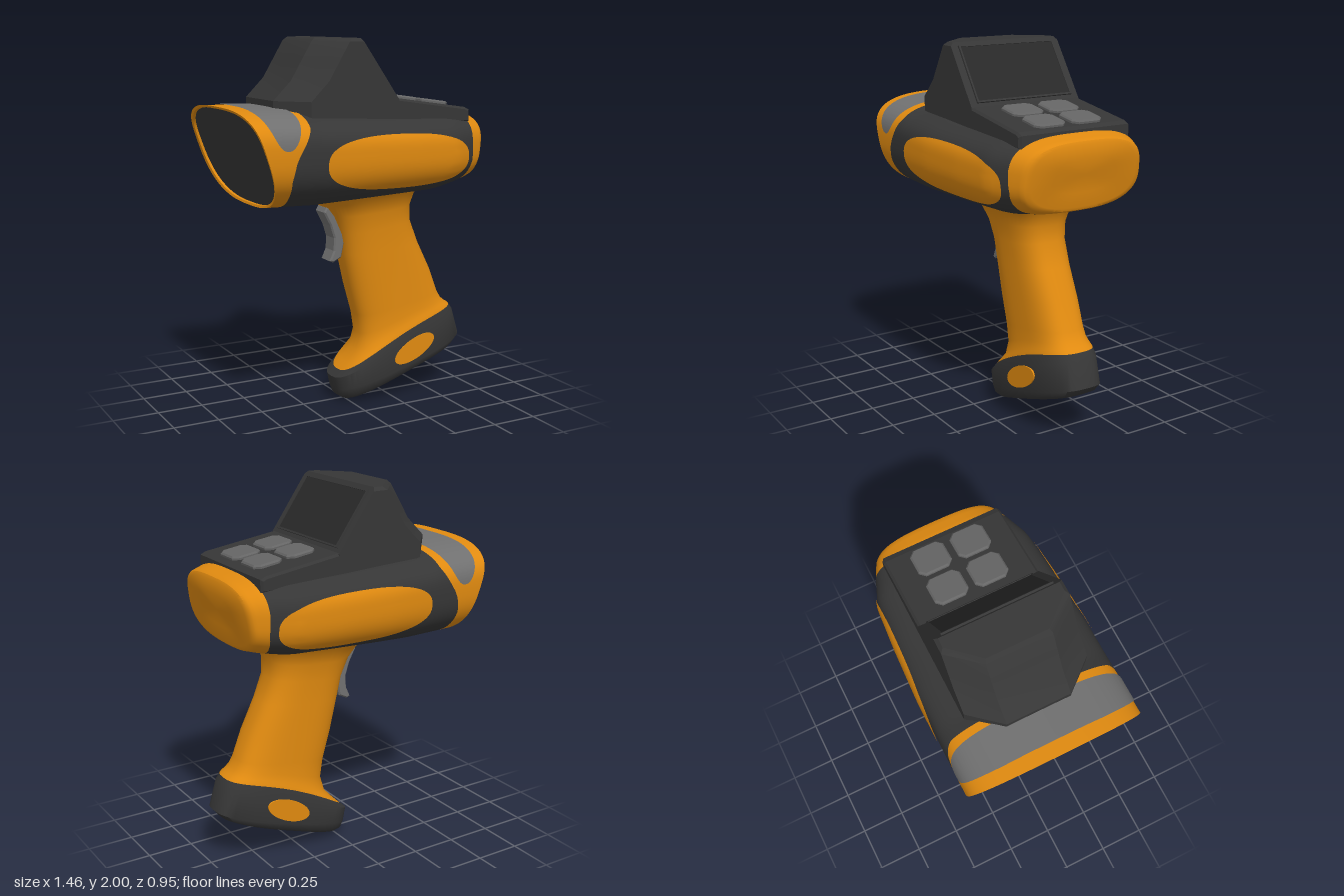
import * as THREE from 'three';
import { toCreasedNormals } from 'three/addons/utils/BufferGeometryUtils.js';

const mat = (name, color) => Object.assign(new THREE.MeshStandardMaterial({ color }), { name });
const V = (x, y, z) => new THREE.Vector3(x, y, z);

// Piecewise linear lookup in [[in, out], ...]
function lookup(table, t) {
  if (t <= table[0][0]) return table[0][1];
  for (let i = 1; i < table.length; i++) {
    const [a, p] = table[i - 1], [b, q] = table[i];
    if (t <= b) return p + (q - p) * (t - a) / (b - a);
  }
  return table[table.length - 1][1];
}

// Skin over rows of points, turned to face away from ref
function skin(rows, { closed = true, ref, capStart, capEnd, crease = 0.6 } = {}) {
  const mean = pts => pts.reduce((s, p) => s.add(p), V(0, 0, 0)).divideScalar(pts.length);
  rows = rows.slice();
  ref = ref || mean(rows.flat());
  if (capStart) rows.unshift(rows[0].map(() => mean(rows[0])));
  if (capEnd) { const last = rows[rows.length - 1]; rows.push(last.map(() => mean(last))); }
  const tris = [], n = rows[0].length;
  let facing = 0;
  const add = (a, b, c) => {
    const nor = b.clone().sub(a).cross(c.clone().sub(a));
    if (nor.length() < 1e-10) return;
    facing += nor.dot(a.clone().add(b).add(c).divideScalar(3).sub(ref));
    tris.push([a, b, c]);
  };
  for (let i = 0; i + 1 < rows.length; i++) {
    for (let j = 0; j < (closed ? n : n - 1); j++) {
      const k = (j + 1) % n;
      add(rows[i][j], rows[i][k], rows[i + 1][k]);
      add(rows[i][j], rows[i + 1][k], rows[i + 1][j]);
    }
  }
  const pts = tris.flatMap(([a, b, c]) => (facing < 0 ? [a, c, b] : [a, b, c]));
  return toCreasedNormals(new THREE.BufferGeometry().setFromPoints(pts), crease);
}

// Head section: half width, top, bottom and widest height along x
const halfW = [[-0.73, 0.47], [-0.1, 0.47], [0.2, 0.455], [0.45, 0.435], [0.58, 0.385], [0.67, 0.34]];
const topY = [[-0.73, 1.66], [-0.4, 1.65], [-0.35, 1.635], [0.1, 1.615], [0.6, 1.605], [0.7, 1.58]];
const botY = [[-0.73, 1.15], [-0.3, 1.14], [0.4, 1.17], [0.55, 1.2], [0.67, 1.235]];
const midY = [[-0.7, 1.45], [0.6, 1.41]];
const power = up => (up ? 3 : 2.7);

// Point on the head at angle t, with x given as a function of height
function headPoint(xOf, t, off = 0) {
  const s = Math.sin(t), c = Math.cos(t), e = 2 / power(s >= 0);
  let x = 0, y = 1.45 + 0.2 * s;
  for (let i = 0; i < 6; i++) {
    x = xOf(y);
    const m = lookup(midY, x);
    const b = s >= 0 ? lookup(topY, x) - m : m - lookup(botY, x);
    y = m + Math.sign(s) * (b + off) * Math.abs(s) ** e;
  }
  return V(x, y, Math.sign(c) * (lookup(halfW, x) + off) * Math.abs(c) ** e);
}
function headSide(x, y) {
  const m = lookup(midY, x), up = y >= m, n = power(up);
  const b = up ? lookup(topY, x) - m : m - lookup(botY, x);
  return lookup(halfW, x) * Math.max(0, 1 - (Math.abs(y - m) / b) ** n) ** (1 / n);
}
const SEG = 96;
const headRing = xOf => Array.from({ length: SEG }, (_, j) => headPoint(xOf, j / SEG * Math.PI * 2));
function headBand(from, to, n) {
  return Array.from({ length: n + 1 }, (_, i) => headRing(y => from(y) + (to(y) - from(y)) * i / n));
}
function shrink(ring, s, dx) {
  return ring.map(p => V(p.x + dx, 1.41 + (p.y - 1.41) * s, p.z * s));
}

// Grip section between a front and a rear point, bowed up in the middle
function gripRing([lx, ly, rx, ry, w, bow = 0]) {
  return Array.from({ length: 48 }, (_, j) => {
    const t = j / 48 * Math.PI * 2, c = Math.cos(t), s = Math.sin(t);
    const u = Math.sign(c) * Math.abs(c) ** 0.72, v = Math.sign(s) * Math.abs(s) ** 0.72;
    return V((lx + rx) / 2 + u * (rx - lx) / 2, (ly + ry) / 2 + u * (ry - ly) / 2 + bow * (1 - u * u), v * w);
  });
}

function extrude(points, depth, bevel = 0) {
  const shape = new THREE.Shape(points.map(p => new THREE.Vector2(...p)));
  return new THREE.ExtrudeGeometry(shape, {
    depth: depth - 2 * bevel, bevelEnabled: bevel > 0, bevelSize: bevel, bevelThickness: bevel, bevelOffset: -bevel, bevelSegments: 1,
  }).translate(0, 0, bevel - depth / 2);
}

export function createModel() {
  const model = new THREE.Group();
  const orange = mat('orange', 0xe08a10), dark = mat('charcoal', 0x363636), grey = mat('grey', 0x707070);
  const keyGrey = mat('key grey', 0x656565), glass = mat('screen black', 0x292929);
  const add = (name, geo, material, parent = model) => {
    const mesh = new THREE.Mesh(geo, material);
    mesh.name = name;
    parent.add(mesh);
    return mesh;
  };

  // Head: front collar, middle shell, rear bumper
  const lip = y => -0.73 + (1.66 - y) * 0.333;
  const collarTable = [[1.15, -0.49], [1.22, -0.51], [1.32, -0.52], [1.42, -0.5], [1.5, -0.45], [1.57, -0.41], [1.65, -0.4]];
  const collarEnd = y => lookup(collarTable, y);
  const bumperStart = y => lookup([[1.18, 0.52], [1.27, 0.56], [1.35, 0.578], [1.45, 0.575], [1.6, 0.585]], y);
  const rear = y => 0.672 - (1.6 - y) * 0.15;
  const collar = headBand(lip, collarEnd, 6);
  const inner = shrink(collar[0], 0.955, 0.004), recess = shrink(collar[0], 0.95, 0.018);
  const ref = V(0, 1.4, 0);
  add('frontCollar', skin([recess, inner, ...collar], { ref }), orange);
  add('frontWindow', skin([recess], { capEnd: true, ref }), dark);
  add('headShell', skin(headBand(collarEnd, bumperStart, 28), { ref }), dark);
  const bumper = headBand(bumperStart, rear, 5), end = bumper[5];
  add('rearBumper', skin([...bumper, shrink(end, 0.96, 0.013), shrink(end, 0.88, 0.02), shrink(end, 0.5, 0.024)], { ref, capEnd: true }), orange);

  // Grey band over the top of the collar
  const band = [];
  for (let i = 0; i <= 80; i++) {
    const k = i / 40 - 1, t = Math.PI / 2 + Math.sign(k) * (Math.PI / 2 - 0.03) * (1 - (1 - Math.abs(k)) ** 2);
    const half = y => 0.105 * Math.min(1, Math.max(0, (y - 1.47) / 0.18)) ** 0.45;
    band.push(Array.from({ length: 9 }, (_, j) => headPoint(y => -0.548 + half(y) * (j / 4 - 1), t, 0.006)));
  }
  add('collarBand', skin(band, { closed: false, ref }), grey);

  // Long side panels that follow the shell
  for (const side of [1, -1]) {
    const rows = [];
    for (let i = 0; i <= 10; i++) {
      rows.push(Array.from({ length: 64 }, (_, j) => {
        const t = j / 64 * Math.PI * 2, c = Math.cos(t), s = Math.sin(t);
        const dx = 0.437 * i / 10 * Math.sign(c) * Math.abs(c) ** 0.8;
        const y = 1.38 - 0.02 * dx + 0.143 * i / 10 * Math.sign(s) * Math.abs(s) ** 0.8;
        return V(0.103 + dx, y, side * (headSide(0.103 + dx, y) + 0.006));
      }));
    }
    add(side > 0 ? 'leftPanel' : 'rightPanel', skin(rows, { ref: V(0.1, 1.38, 0) }), orange);
  }

  // Display hood: plan outlines by height [y, front x, rear x, half width]
  const hood = [[1.58, -0.49, 0.147, 0.33], [1.69, -0.49, 0.147, 0.33], [1.79, -0.39, 0.077, 0.33],
    [1.89, -0.33, 0.007, 0.33], [1.982, -0.275, -0.058, 0.33], [2, -0.255, -0.07, 0.312]];
  add('displayHood', skin(hood.map(([y, f, r, w]) => [V(r, y, w), V(f + 0.135, y, w), V(f, y, w * 0.52),
    V(f, y, -w * 0.52), V(f + 0.135, y, -w), V(r, y, -w)]), { capEnd: true, crease: 0.45 }), dark);

  // Screen with a thin rim on the sloping face
  const display = new THREE.Group();
  display.name = 'display';
  display.position.set(0.038, 1.846, 0);
  display.rotation.z = 0.612;
  model.add(display);
  add('screen', new THREE.BoxGeometry(0.006, 0.315, 0.56), glass, display).position.x = 0.003;
  for (const s of [1, -1]) {
    add('rimRail', new THREE.BoxGeometry(0.014, 0.01, 0.58), dark, display).position.set(0.003, s * 0.16, 0);
    add('rimPost', new THREE.BoxGeometry(0.014, 0.32, 0.01), dark, display).position.set(0.003, 0, s * 0.285);
  }

  // Key deck and four keys
  add('keyDeck', extrude([[-0.3, 1.56], [0.59, 1.55], [0.59, 1.618], [0.56, 1.632], [0.13, 1.695], [-0.3, 1.68]], 0.66, 0.012), dark);
  const w = 0.082, h = 0.092, c = 0.03;
  const octagon = [[w, -h + c], [w, h - c], [w - c, h], [c - w, h], [-w, h - c], [-w, c - h], [c - w, -h], [w - c, -h]];
  for (const x of [0.275, 0.465]) for (const s of [1, -1]) {
    const key = add('key', extrude(octagon, 0.03, 0.008).rotateX(-Math.PI / 2), keyGrey);
    key.position.set(x, 1.677 - (x - 0.275) * 0.147, s * 0.11);
    key.rotation.z = -0.146;
  }

  // Grip: [front x, front y, rear x, rear y, half width, bow]
  const joint = [-0.04, 0.175, 0.662, 0.483, 0.16, 0.05];
  add('grip', skin([[-0.2, 1.15, 0.44, 1.2, 0.22], [-0.14, 1.115, 0.41, 1.16, 0.18], [-0.09, 1.05, 0.387, 1.09, 0.157],
    [-0.045, 0.95, 0.39, 1.0, 0.146], [-0.02, 0.83, 0.443, 0.87, 0.142], [0.02, 0.65, 0.525, 0.71, 0.141],
    [0.068, 0.48, 0.58, 0.57, 0.14, 0.01], [0.085, 0.37, 0.606, 0.525, 0.141, 0.025], [0.06, 0.28, 0.635, 0.5, 0.148, 0.04],
    [0.0, 0.215, 0.652, 0.49, 0.156, 0.05], joint].map(gripRing), { crease: 0.9 }), orange);
  add('gripFoot', skin([joint, [-0.08, 0.14, 0.685, 0.45, 0.172, 0.03], [-0.065, 0.07, 0.727, 0.31, 0.172],
    [-0.05, 0.03, 0.695, 0.27, 0.16], [-0.02, 0.01, 0.65, 0.243, 0.13], [0.03, 0.002, 0.6, 0.222, 0.06]].map(gripRing),
  { capEnd: true, crease: 0.8 }), dark);

  // Oval inlays on the foot
  for (const s of [1, -1]) {
    const inlay = add('footInlay', new THREE.CylinderGeometry(1, 1, 0.009, 40).rotateX(Math.PI / 2), orange);
    inlay.scale.set(0.138, 0.058, 1);
    inlay.rotation.z = 0.45;
    inlay.position.set(0.36, 0.28, s * 0.171);
  }

  // Trigger
  add('trigger', extrude([[-0.145, 1.075], [-0.105, 1.0], [-0.083, 0.93], [-0.085, 0.86], [-0.11, 0.805], [-0.09, 0.795],
    [-0.04, 0.82], [-0.022, 0.9], [-0.03, 0.98], [-0.06, 1.04], [-0.07, 1.12], [-0.13, 1.1]], 0.11, 0.008), grey);
  return model;
}
